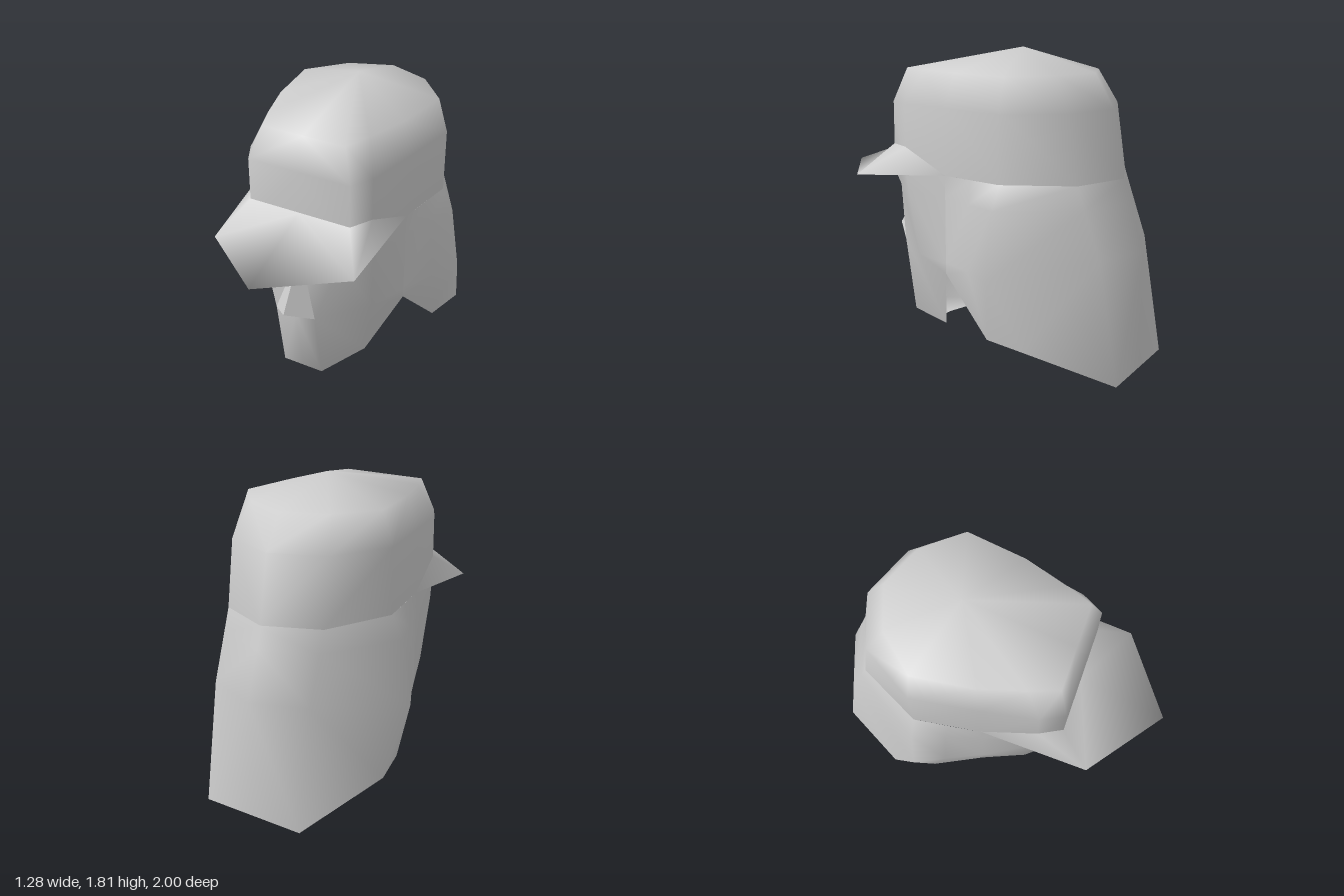
import * as THREE from 'three';
import { mergeVertices } from 'three/addons/utils/BufferGeometryUtils.js';

const cloth = new THREE.MeshStandardMaterial({ color: 0xcccccc, side: THREE.DoubleSide });
cloth.name = 'plain grey cloth';

// Mirrors a half row (starting on the centre line) into a full row
const mirrorRow = (half) => [...half.slice(1).reverse().map(([x, y, z]) => [-x, y, z]), ...half];

// Skins mirrored cross-sections, listed top to bottom; extra holds loose triangles
function skin(name, halfRows, flip = false, extra = []) {
  const rows = halfRows.map(mirrorRow);
  const pos = [];
  const tri = (a, b, c) => pos.push(...a, ...(flip ? c : b), ...(flip ? b : c));
  const same = (a, b) => a.every((v, i) => v === b[i]);
  const solid = (a, b, c) => { if (!same(a, b) && !same(b, c) && !same(a, c)) tri(a, b, c); };
  for (let r = 0; r < rows.length - 1; r++) {
    for (let c = 0; c < rows[r].length - 1; c++) {
      const a = rows[r][c], b = rows[r + 1][c], d = rows[r + 1][c + 1], e = rows[r][c + 1];
      // Mirror the diagonal with the sides
      if (c < (rows[r].length - 1) / 2) { solid(a, b, e); solid(e, b, d); }
      else { solid(a, b, d); solid(a, d, e); }
    }
  }
  extra.forEach((t) => tri(...t));
  let g = new THREE.BufferGeometry();
  g.setAttribute('position', new THREE.Float32BufferAttribute(pos, 3));
  g = mergeVertices(g, 1e-4);
  g.computeVertexNormals();
  const mesh = new THREE.Mesh(g, cloth);
  mesh.name = name;
  return mesh;
}

// Half ring at one height from [x, z] pairs
const level = (y, pts) => pts.map(([x, z]) => [x, y, z]);

export function createModel() {
  const model = new THREE.Group();
  model.name = 'capWithNeckFlap';

  // Crown: rings from the peak down to the band, front centre to back centre
  const side = [[0, 0.48], [0.32, 0.48], [0.39, 0.35], [0.45, 0.03], [0.51, -0.36]];
  model.add(skin('crown', [
    level(1.81, Array(7).fill([0, -0.22])),
    level(1.68, [[0, 0.42], [0.26, 0.42], [0.32, 0.26], [0.4, 0], [0.45, -0.36], [0.26, -0.58], [0, -0.68]]),
    level(1.485, [...side, [0.32, -0.68], [0, -0.8]]),
    level(1.1, [...side, [0.32, -0.74], [0, -0.87]]),
  ]));

  // Neck flap: back centre round to the cheek
  model.add(skin('neckFlap', [
    level(1.1, [[0, -0.87], [0.32, -0.74], [0.51, -0.36], [0.48, -0.16], [0.45, 0.03]]),
    level(0.97, [[0, -0.912], [0.32, -0.785], [0.58, -0.36], [0.52, -0.17], [0.45, 0.03]]),
    [[0, 0.7, -1], [0.32, 0.7, -0.88], [0.64, 0.59, -0.36], [0.55, 0.59, -0.18], [0.45, 0.59, 0.03]],
    [[0, 0, -1], [0.32, 0, -1], [0.58, 0.2, -0.55], [0.52, 0.2, -0.29], [0.45, 0.52, 0.03]],
  ], true));

  // Brim: pointed wedge, upper side then underside
  model.add(skin('brim', [
    [[0, 1.23, 0.48], [0.32, 1.23, 0.48], [0.39, 1.23, 0.35], [0.45, 1.1, 0.03]],
    [[0, 1.04, 1], [0.45, 1.04, 0.67], [0.45, 1.04, 0.67], [0.45, 1.1, 0.03]],
    level(1.1, [[0, 0.48], [0.32, 0.48], [0.39, 0.35], [0.45, 0.03]]),
  ]));

  // Face cover, with the chin tucked underneath
  const jaw = [0.26, 0.13, 0.16], chin = [0.13, 0.13, 0.48], tuck = [0.06, 0.07, 0.35];
  const flipX = ([x, y, z]) => [-x, y, z];
  const middle = [0, 0.13, 0.48], tuckMiddle = [0, 0.07, 0.35];
  model.add(skin('faceCover', [
    level(1.1, [[0, 0.55], [0.26, 0.55], [0.39, 0.35], [0.45, 0.03]]),
    level(0.97, [[0, 0.48], [0.26, 0.48], [0.39, 0.33], [0.45, 0.03]]),
    level(0.58, [[0, 0.55], [0.13, 0.55], [0.36, 0.28], [0.45, 0.03]]),
    [middle, chin, jaw, [0.45, 0.52, 0.03]],
  ], false, [
    [chin, tuck, jaw], [flipX(chin), flipX(jaw), flipX(tuck)],
    [middle, tuck, chin], [middle, flipX(chin), flipX(tuck)],
    [middle, tuckMiddle, tuck], [middle, flipX(tuck), tuckMiddle],
  ]));

  // Nose: small ridge with an underside
  const top = [0, 0.97, 0.48], tip = [0, 0.65, 0.68], wing = [0.13, 0.58, 0.55];
  const nose = new THREE.BufferGeometry();
  nose.setAttribute('position', new THREE.Float32BufferAttribute([
    top, tip, wing, top, flipX(wing), tip, tip, flipX(wing), wing].flat(), 3));
  nose.computeVertexNormals();
  const noseMesh = new THREE.Mesh(nose, cloth);
  noseMesh.name = 'nose';
  model.add(noseMesh);

  return model;
}
